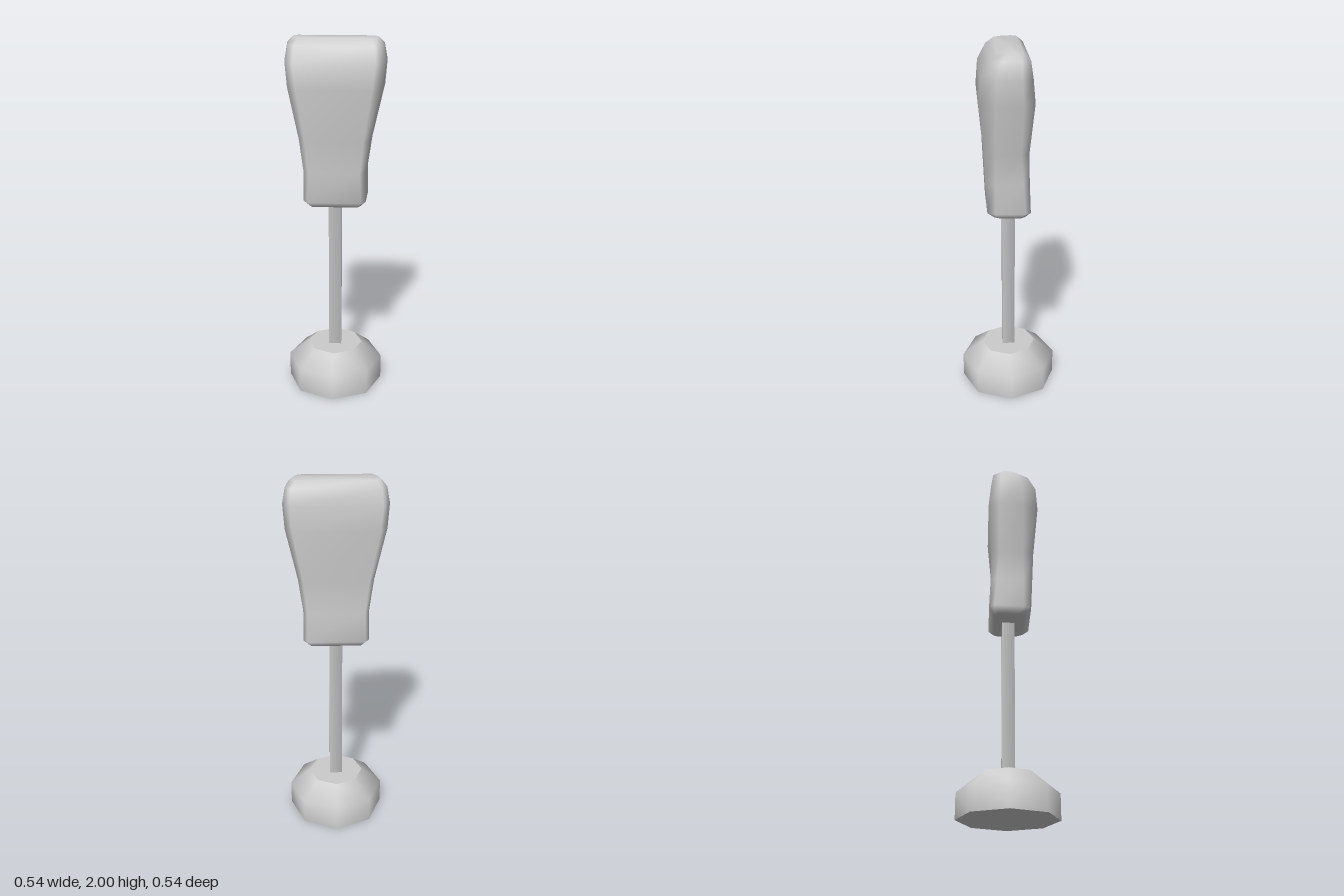
import * as THREE from 'three';
import { mergeVertices } from 'three/addons/utils/BufferGeometryUtils.js';

const material = new THREE.MeshStandardMaterial({ color: 0xcccccc });

function addMesh(parent, name, geometry) {
  const mesh = new THREE.Mesh(geometry, material);
  mesh.name = name;
  parent.add(mesh);
  return mesh;
}

// Paddle sections: height, half width, front z, back z, corner inset
const paddleSections = [
  [1.097, 0.15, 0.085, -0.08, 0.025],
  [1.132, 0.178, 0.122, -0.11, 0.03],
  [1.30, 0.176, 0.13, -0.103, 0.035],
  [1.47, 0.2, 0.137, -0.097, 0.042],
  [1.75, 0.262, 0.163, -0.12, 0.06],
  [1.88, 0.272, 0.152, -0.107, 0.055],
  [1.965, 0.256, 0.108, -0.095, 0.045],
  [2.00, 0.222, 0.065, -0.06, 0.03],
];

// Smooth loft of chamfered rectangles, closed at both ends
function paddleGeometry() {
  const positions = [], index = [], n = 8;
  for (const [y, w, front, back, c] of paddleSections) {
    const wf = w - c * 0.25; // the front side is slightly narrower
    const ring = [
      [w - c * 0.65, back], [-w + c * 0.65, back], [-w, back + c], [-wf, front - c * 1.4],
      [-w + c * 1.1, front], [w - c * 1.1, front], [wf, front - c * 1.4], [w, back + c],
    ];
    for (const [x, z] of ring) positions.push(x, y, z);
  }
  const last = paddleSections.length - 1;
  for (let j = 0; j < last; j++) {
    for (let i = 0; i < n; i++) {
      const a = j * n + i, b = j * n + (i + 1) % n;
      index.push(a, b, b + n, a, b + n, a + n);
    }
  }
  // End caps
  for (const [row, top] of [[0, false], [last, true]]) {
    const [y, , front, back] = paddleSections[row];
    const centre = positions.length / 3;
    positions.push(0, y, (front + back) / 2);
    for (let i = 0; i < n; i++) {
      const a = row * n + i, b = row * n + (i + 1) % n;
      if (top) index.push(centre, a, b);
      else index.push(centre, b, a);
    }
  }
  const geometry = new THREE.BufferGeometry();
  geometry.setAttribute('position', new THREE.Float32BufferAttribute(positions, 3));
  geometry.setIndex(index);
  geometry.computeVertexNormals();
  return geometry;
}

// Square rod with smoothed corners, its open ends hidden in the other parts
function rodGeometry(half, y0, y1) {
  const radius = half * Math.SQRT2;
  const geometry = new THREE.CylinderGeometry(radius, radius, y1 - y0, 4, 1, true);
  return geometry.rotateY(Math.PI / 4).translate(0, (y0 + y1) / 2, 0);
}

// Eight-sided wall, welded so the shading has no seam
function footSideGeometry(profile) {
  const geometry = new THREE.LatheGeometry(profile.map(([r, y]) => new THREE.Vector2(r, y)), 8);
  geometry.deleteAttribute('uv');
  geometry.deleteAttribute('normal');
  const welded = mergeVertices(geometry, 1e-4);
  welded.computeVertexNormals();
  return welded;
}

export function createModel() {
  const model = new THREE.Group();
  model.name = 'paddleOnStand';

  // Foot with a sloped shoulder and flat ends
  const foot = new THREE.Group();
  foot.name = 'foot';
  model.add(foot);
  addMesh(foot, 'footSide', footSideGeometry([[0.27, 0], [0.27, 0.14], [0.155, 0.232]]));
  const top = addMesh(foot, 'footTop', new THREE.CircleGeometry(0.155, 8).rotateX(-Math.PI / 2));
  top.position.y = 0.232;
  addMesh(foot, 'footBottom', new THREE.CircleGeometry(0.27, 8).rotateX(Math.PI / 2));

  addMesh(model, 'rod', rodGeometry(0.035, 0.225, 1.11));
  addMesh(model, 'paddle', paddleGeometry());
  return model;
}
